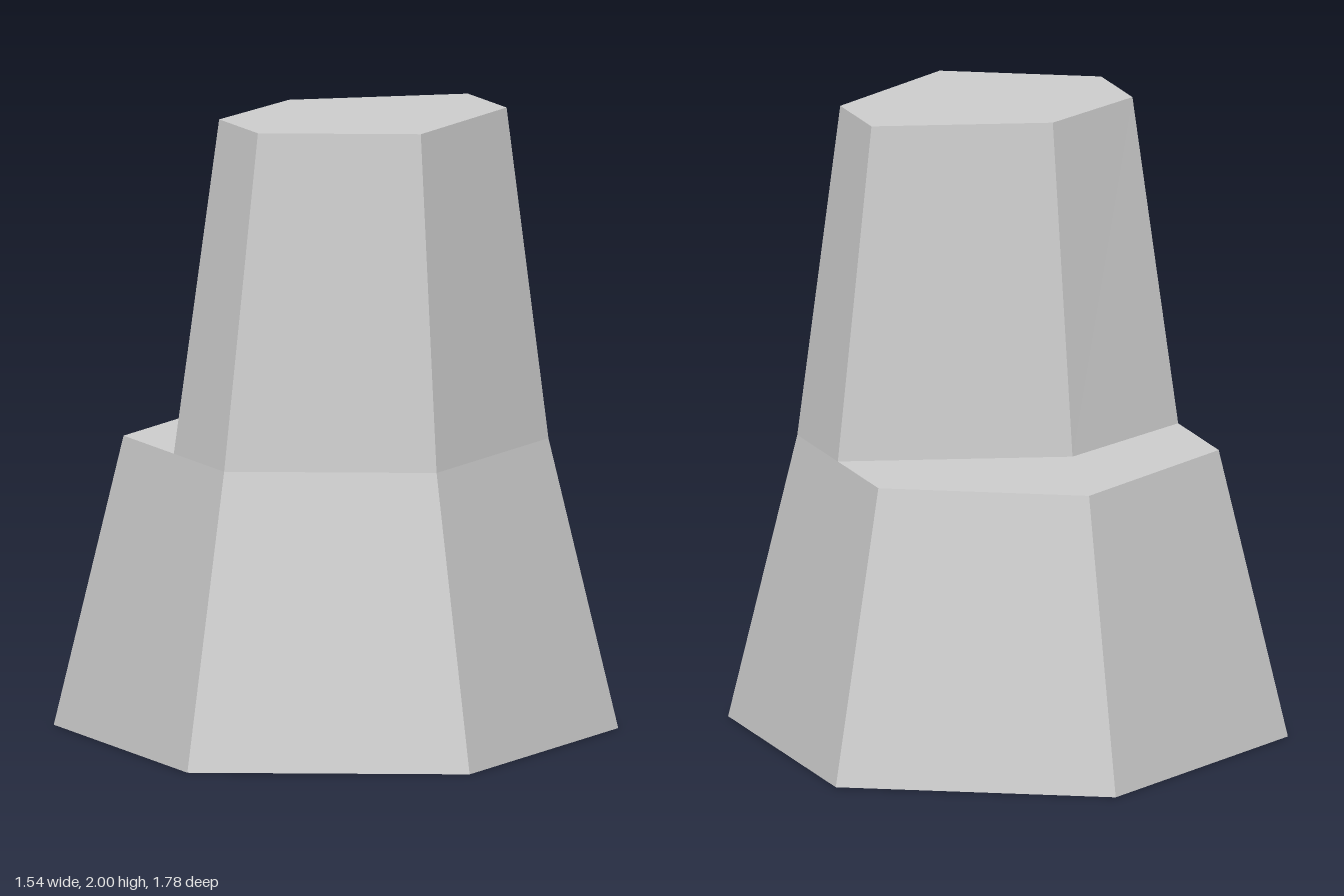
import * as THREE from 'three';

const material = new THREE.MeshStandardMaterial({ color: 0xcccccc, flatShading: true });

// Outlines are [x, z] corners, counter-clockwise seen from above
const hexagon = (r) => Array.from({ length: 6 }, (_, i) => {
  const a = (i * Math.PI) / 3;
  return [r * Math.sin(a), r * Math.cos(a)];
});

// Sloping walls between two outlines with matching corners
function walls(name, low, y0, high, y1) {
  const pos = [];
  low.forEach((p, i) => {
    const j = (i + 1) % low.length;
    const a = [p[0], y0, p[1]], b = [low[j][0], y0, low[j][1]];
    const c = [high[j][0], y1, high[j][1]], d = [high[i][0], y1, high[i][1]];
    pos.push(...a, ...b, ...c, ...a, ...c, ...d);
  });
  const geo = new THREE.BufferGeometry();
  geo.setAttribute('position', new THREE.Float32BufferAttribute(pos, 3));
  geo.computeVertexNormals();
  const mesh = new THREE.Mesh(geo, material);
  mesh.name = name;
  return mesh;
}

// Flat horizontal face, facing up (1) or down (-1)
function cap(name, outline, y, facing) {
  const shape = new THREE.Shape(outline.map(([x, z]) => new THREE.Vector2(x, -facing * z)));
  const geo = new THREE.ShapeGeometry(shape);
  geo.rotateX((-facing * Math.PI) / 2);
  geo.translate(0, y, 0);
  const mesh = new THREE.Mesh(geo, material);
  mesh.name = name;
  return mesh;
}

export function createModel() {
  const group = new THREE.Group();
  group.name = 'steppedHexagonalTower';
  const ledgeY = 0.93, topY = 2;

  const foot = hexagon(0.89);
  const waist = hexagon(0.67);
  const [front, frontLeft, backLeft, back, backRight, frontRight] = waist;

  // The upper block shares the front corners of the waist and is cut off behind
  const cutLeft = [frontLeft[0], 0], cutBack = [-0.125, -0.23], cutRight = [frontRight[0], 0];
  const upperFoot = [front, frontLeft, cutLeft, cutBack, cutRight, frontRight];
  const upperTop = [[0, 0.565], [0.445, 0.308], [0.445, 0.05], [-0.1, -0.128], [-0.445, 0.05], [-0.445, 0.308]];
  const ledge = [cutLeft, backLeft, back, backRight, cutRight, cutBack];

  group.add(
    cap('underside', foot, 0, -1),
    walls('lowerWalls', foot, 0, waist, ledgeY),
    cap('backLedge', ledge, ledgeY, 1),
    walls('upperWalls', upperFoot, ledgeY, upperTop, topY),
    cap('topFace', upperTop, topY, 1),
  );
  return group;
}
